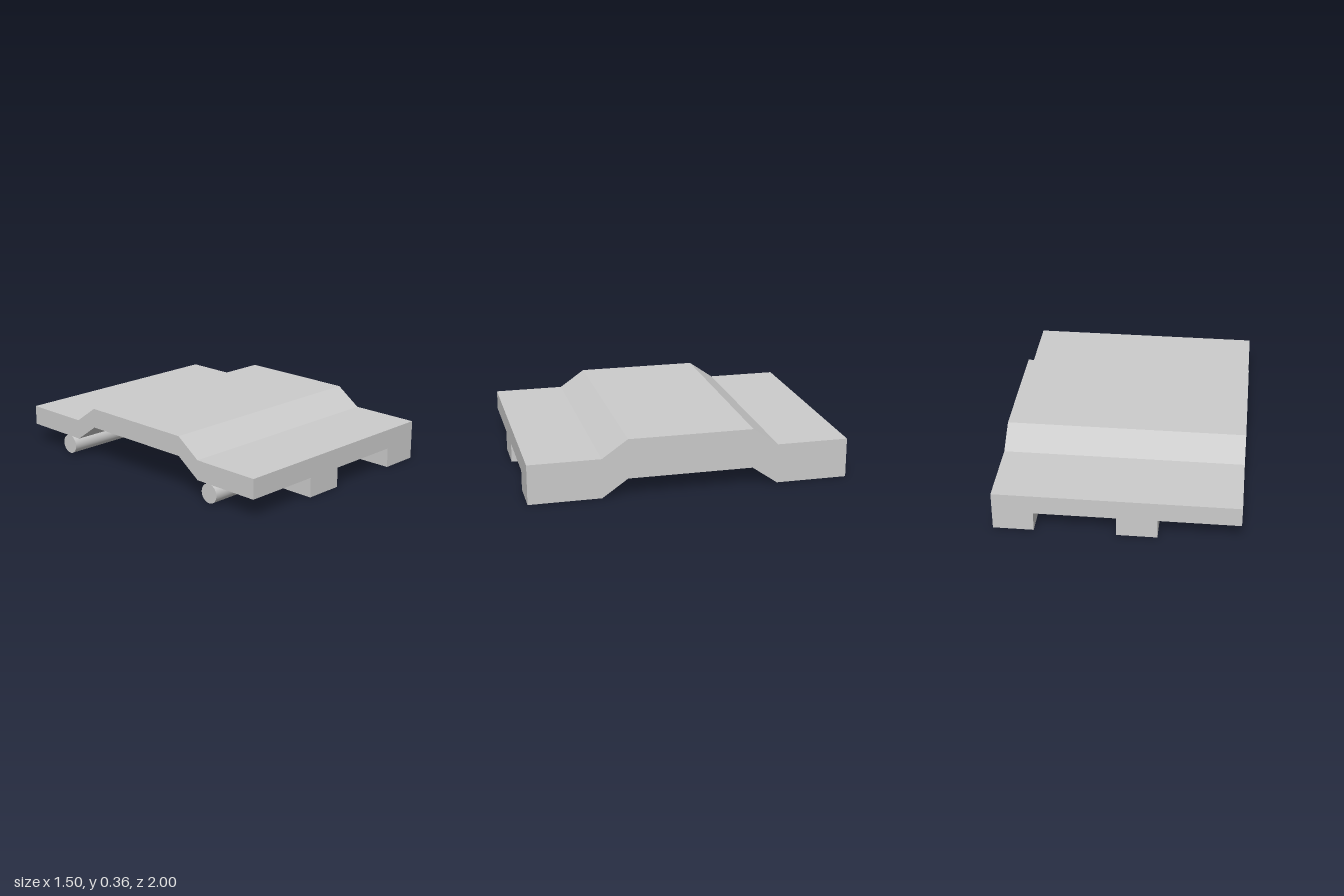
import * as THREE from 'three';

export function createModel() {
  const group = new THREE.Group();
  const material = new THREE.MeshStandardMaterial({ color: 0xcccccc });

  // Link plate: cross-section of a deck on two legs, swept along z
  const section = new THREE.Shape([
    [-0.75, 0.25], [-0.75, 0.125], [-0.25, 0.125], [-0.25, 0], [0, 0],
    [0, 0.125], [0.5, 0.125], [0.5, 0], [0.75, 0], [0.75, 0.25],
  ].map(([x, y]) => new THREE.Vector2(x, y)));

  // Stations along z with the rise of the raised middle
  const stations = [[-1, 0], [-0.55, 0], [-0.39, 0.112], [0.39, 0.112], [0.55, 0], [1, 0]];
  const steps = stations.length - 1;
  const plate = new THREE.ExtrudeGeometry(section, { depth: steps, steps, bevelEnabled: false });
  const pos = plate.attributes.position;
  for (let i = 0; i < pos.count; i++) {
    const [z, rise] = stations[Math.round(pos.getZ(i))];
    pos.setY(i, pos.getY(i) + rise);
    pos.setZ(i, z);
  }
  plate.computeVertexNormals();
  const plateMesh = new THREE.Mesh(plate, material);
  plateMesh.name = 'linkPlate';
  group.add(plateMesh);

  // Hinge pins beside each leg, front and back
  const pin = new THREE.CylinderGeometry(0.061, 0.061, 0.5, 40).rotateZ(Math.PI / 2);
  for (const z of [0.645, -0.645]) {
    for (const x of [-0.5, 0.25]) {
      const mesh = new THREE.Mesh(pin, material);
      mesh.name = z > 0 ? 'frontHingePin' : 'backHingePin';
      mesh.position.set(x, 0.066, z);
      group.add(mesh);
    }
  }
  return group;
}
